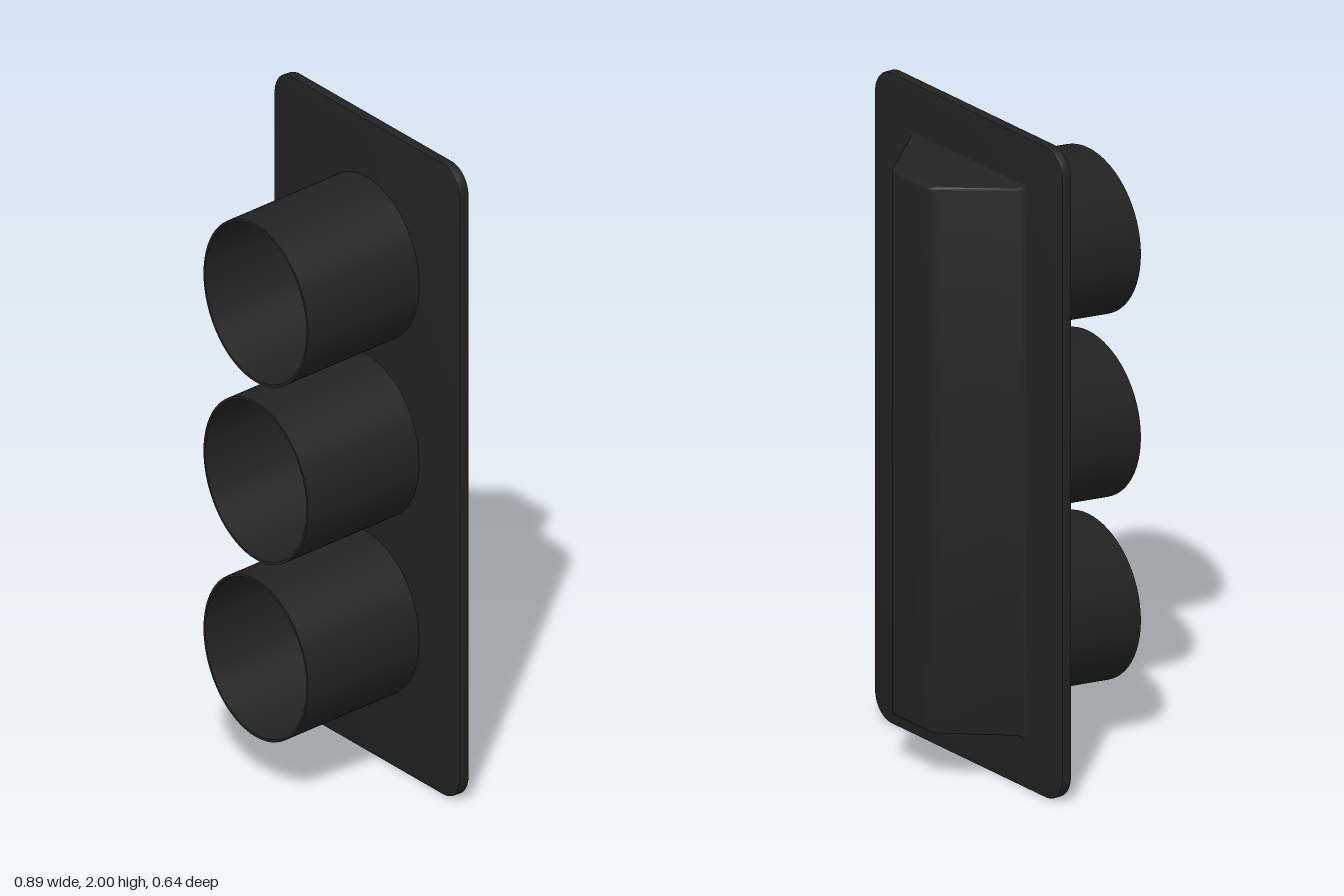
import * as THREE from 'three';
import { toCreasedNormals } from 'three/addons/utils/BufferGeometryUtils.js';

// Rounded rectangle outline centred on the origin
function roundedRect(hw, hh, r) {
  const s = new THREE.Shape();
  s.absarc(hw - r, hh - r, r, 0, Math.PI / 2);
  s.absarc(-hw + r, hh - r, r, Math.PI / 2, Math.PI);
  s.absarc(-hw + r, -hh + r, r, Math.PI, Math.PI * 1.5);
  s.absarc(hw - r, -hh + r, r, Math.PI * 1.5, Math.PI * 2);
  s.closePath();
  return s;
}

// Skin rectangular sections running towards -z, closed at the rear
function loftHousing(sections) {
  const pos = [], idx = [], r = 0.008, steps = 3;
  for (const [z, hw, hh] of sections) {
    for (let c = 0; c < 4; c++) {
      const sx = c === 0 || c === 3 ? 1 : -1, sy = c < 2 ? 1 : -1;
      for (let i = 0; i <= steps; i++) {
        const a = (c + i / steps) * Math.PI / 2;
        pos.push(sx * (hw - r) + r * Math.cos(a), sy * (hh - r) + r * Math.sin(a), z);
      }
    }
  }
  const n = 4 * (steps + 1), last = (sections.length - 1) * n;
  for (let k = 0; k < sections.length - 1; k++) {
    for (let i = 0; i < n; i++) {
      const a = k * n + i, b = k * n + (i + 1) % n;
      idx.push(a, a + n, b, b, a + n, b + n);
    }
  }
  for (let i = 1; i < n - 1; i++) idx.push(last, last + i + 1, last + i);
  const g = new THREE.BufferGeometry();
  g.setAttribute('position', new THREE.Float32BufferAttribute(pos, 3));
  g.setIndex(idx);
  return toCreasedNormals(g, 0.6);
}

export function createModel() {
  const group = new THREE.Group();
  const black = new THREE.MeshStandardMaterial({ color: 0x222222 });
  black.name = 'black casing';
  const grey = new THREE.MeshStandardMaterial({ color: 0x999999 });
  grey.name = 'grey lens';

  const add = (name, geometry, material, parent = group) => {
    const mesh = new THREE.Mesh(geometry, material);
    mesh.name = name;
    parent.add(mesh);
    return mesh;
  };

  // Flat backing board with rounded corners
  const board = new THREE.ExtrudeGeometry(roundedRect(0.444, 1, 0.08), {
    depth: 0.025, bevelThickness: 0.004, bevelSize: 0.004, bevelOffset: -0.004,
    bevelSegments: 2, curveSegments: 10,
  });
  board.translate(0, 1, -0.106);
  add('backingBoard', toCreasedNormals(board, 0.6), black);

  // Tapered rear housing with a flared foot and rounded rear edge
  const housing = loftHousing([
    [-0.108, 0.285, 0.856], [-0.112, 0.272, 0.848], [-0.122, 0.259, 0.842],
    [-0.298, 0.108, 0.84], [-0.312, 0.096, 0.837], [-0.318, 0.087, 0.832], [-0.32, 0.075, 0.824],
  ]);
  housing.translate(0, 1, 0);
  add('rearHousing', housing, black);

  // Visor: thin tube along z, sheared so it droops towards the front
  const backZ = -0.082, frontZ = 0.32, slope = -0.093;
  const wall = [[0.242, backZ], [0.25, backZ], [0.25, frontZ], [0.242, frontZ], [0.242, backZ]];
  const tube = new THREE.LatheGeometry(wall.map(([r, z]) => new THREE.Vector2(r, z)), 64);
  tube.rotateX(Math.PI / 2);
  const p = tube.attributes.position;
  for (let i = 0; i < p.count; i++) p.setY(i, p.getY(i) + slope * (p.getZ(i) - backZ));
  const visor = toCreasedNormals(tube, 0.6);

  // Shallow convex lens
  const rim = 0.245, sag = 0.08, R = (rim * rim + sag * sag) / (2 * sag);
  const lens = new THREE.SphereGeometry(R, 48, 12, 0, Math.PI * 2, 0, Math.asin(rim / R));
  lens.rotateX(Math.PI / 2);
  lens.translate(0, 0, sag - R - 0.076);

  ['lower', 'middle', 'upper'].forEach((name, i) => {
    const lamp = new THREE.Group();
    lamp.name = name + 'Lamp';
    lamp.position.y = 0.445 + i * 0.5625;
    add(name + 'Visor', visor, black, lamp);
    add(name + 'Lens', lens, grey, lamp);
    group.add(lamp);
  });

  return group;
}
